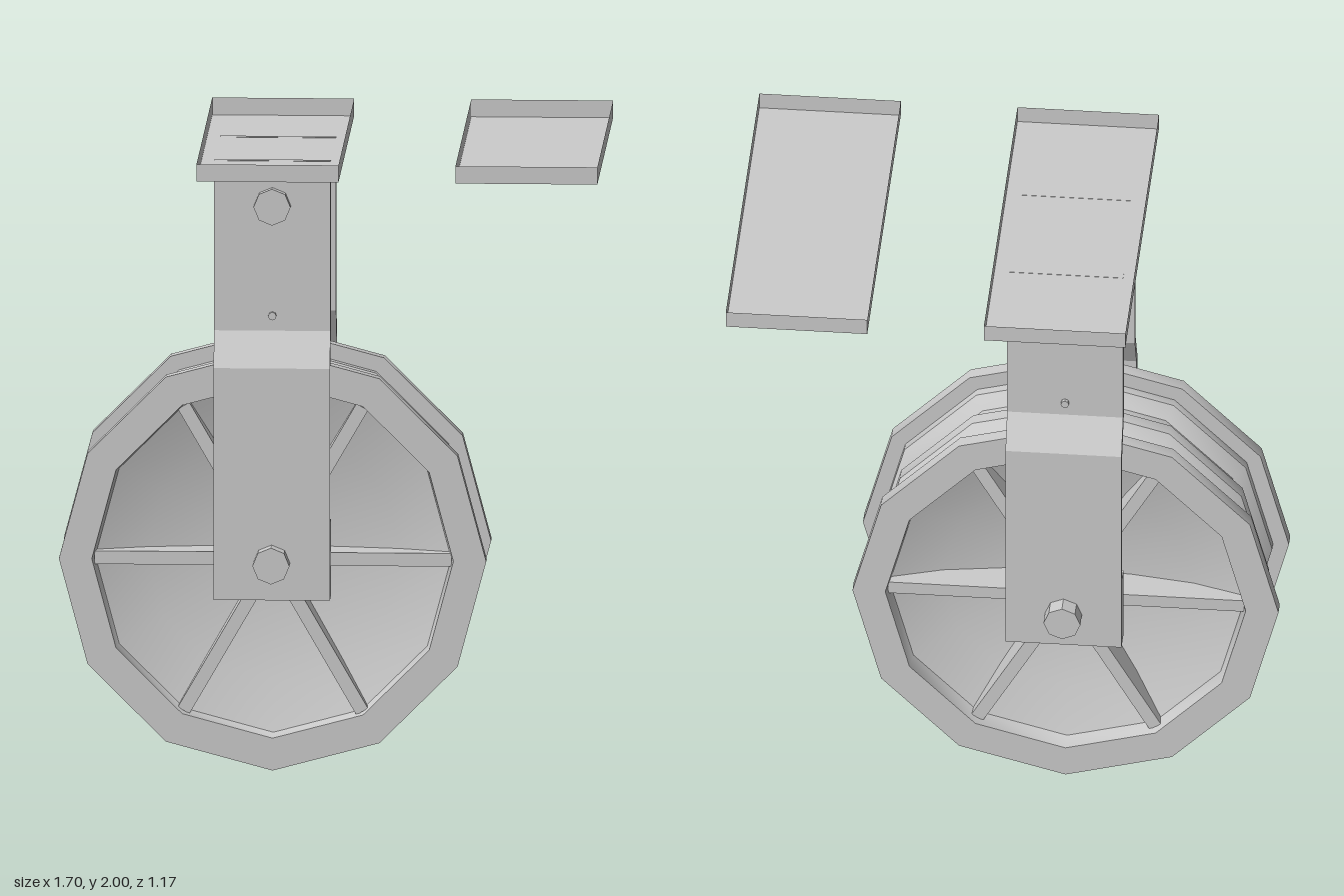
import * as THREE from 'three';
import { toCreasedNormals } from 'three/addons/utils/BufferGeometryUtils.js';

const mat = new THREE.MeshStandardMaterial({ color: 0xcccccc });
const thinMat = new THREE.MeshStandardMaterial({ color: 0xcccccc, side: THREE.DoubleSide });

function add(parent, name, geometry, x = 0, y = 0, z = 0, material = mat) {
  const mesh = new THREE.Mesh(geometry, material);
  mesh.name = name;
  mesh.position.set(x, y, z);
  parent.add(mesh);
  return mesh;
}

// Eight-sided bar lying along z
function bar(radius, halfLength) {
  const g = new THREE.CylinderGeometry(radius, radius, halfLength * 2, 8);
  g.rotateX(Math.PI / 2);
  return toCreasedNormals(g, 0.5);
}

// Shallow tray: a box without its top face
function tray() {
  const g = new THREE.BoxGeometry(0.445, 0.055, 1.17);
  const index = Array.from(g.index.array);
  index.splice(12, 6);
  g.setIndex(index);
  g.clearGroups();
  return g;
}

// Grooved wheel with dished sides, turned from half a profile [radius, z]
function wheelBody() {
  const half = [
    [0, 0.06], [0.2, 0.07], [0.4, 0.1], [0.558, 0.15], [0.567, 0.205],
    [0.67, 0.205], [0.67, 0.16], [0.62, 0.16], [0.62, 0.13],
    [0.576, 0.1], [0.576, 0.058], [0.62, 0.022],
  ];
  const points = [
    ...half.map(([r, z]) => new THREE.Vector2(r, -z)),
    ...half.slice().reverse().map(([r, z]) => new THREE.Vector2(r, z)),
  ];
  const g = new THREE.LatheGeometry(points, 12);
  g.rotateX(Math.PI / 2);
  return toCreasedNormals(g, 0.6);
}

// Cranked strap with a thick foot, as a side profile [z, y] extruded across x
function strap() {
  const width = 0.365;
  const outline = [
    [0.195, 1.946], [0.195, 1.395], [0.25, 1.285], [0.25, 0.805],
    [0.205, 0.805], [0.205, 0.557], [0.276, 0.557], [0.276, 1.295],
    [0.217, 1.405], [0.217, 1.946],
  ];
  const shape = new THREE.Shape(outline.map(([z, y]) => new THREE.Vector2(z, y)));
  const g = new THREE.ExtrudeGeometry(shape, { depth: width, bevelEnabled: false });
  g.rotateY(-Math.PI / 2);
  g.translate(width / 2, 0, 0);
  return g;
}

export function createModel() {
  const model = new THREE.Group();
  model.name = 'pulleyWithMountingTrays';

  const assembly = new THREE.Group();
  assembly.name = 'pulleyAssembly';
  assembly.position.x = -0.187;
  model.add(assembly);

  // Wheel and its spokes
  const wheel = new THREE.Group();
  wheel.name = 'wheel';
  wheel.position.y = 0.672;
  assembly.add(wheel);
  add(wheel, 'wheelBody', wheelBody());
  for (let i = 0; i < 6; i++) {
    const spoke = new THREE.Group();
    spoke.name = 'spokePair';
    spoke.rotation.z = (i * Math.PI) / 3;
    for (const side of [1, -1]) {
      add(spoke, 'spoke', new THREE.BoxGeometry(0.55, 0.042, 0.13), 0.285, 0, side * 0.115);
    }
    wheel.add(spoke);
  }

  // Straps on both sides
  add(assembly, 'frontStrap', strap());
  add(assembly, 'backStrap', strap()).rotation.y = Math.PI;

  // Bars through the straps
  add(assembly, 'axle', bar(0.058, 0.33), 0, 0.675);
  add(assembly, 'spacerBar', bar(0.058, 0.248), 0, 1.803);
  add(assembly, 'pin', bar(0.013, 0.23), 0, 1.453);

  // Mounting tray and the loose second tray
  add(assembly, 'mountingTray', tray(), 0, 1.9725, 0, thinMat);
  add(model, 'looseTray', tray(), 0.625, 1.9725, 0, thinMat);

  return model;
}
